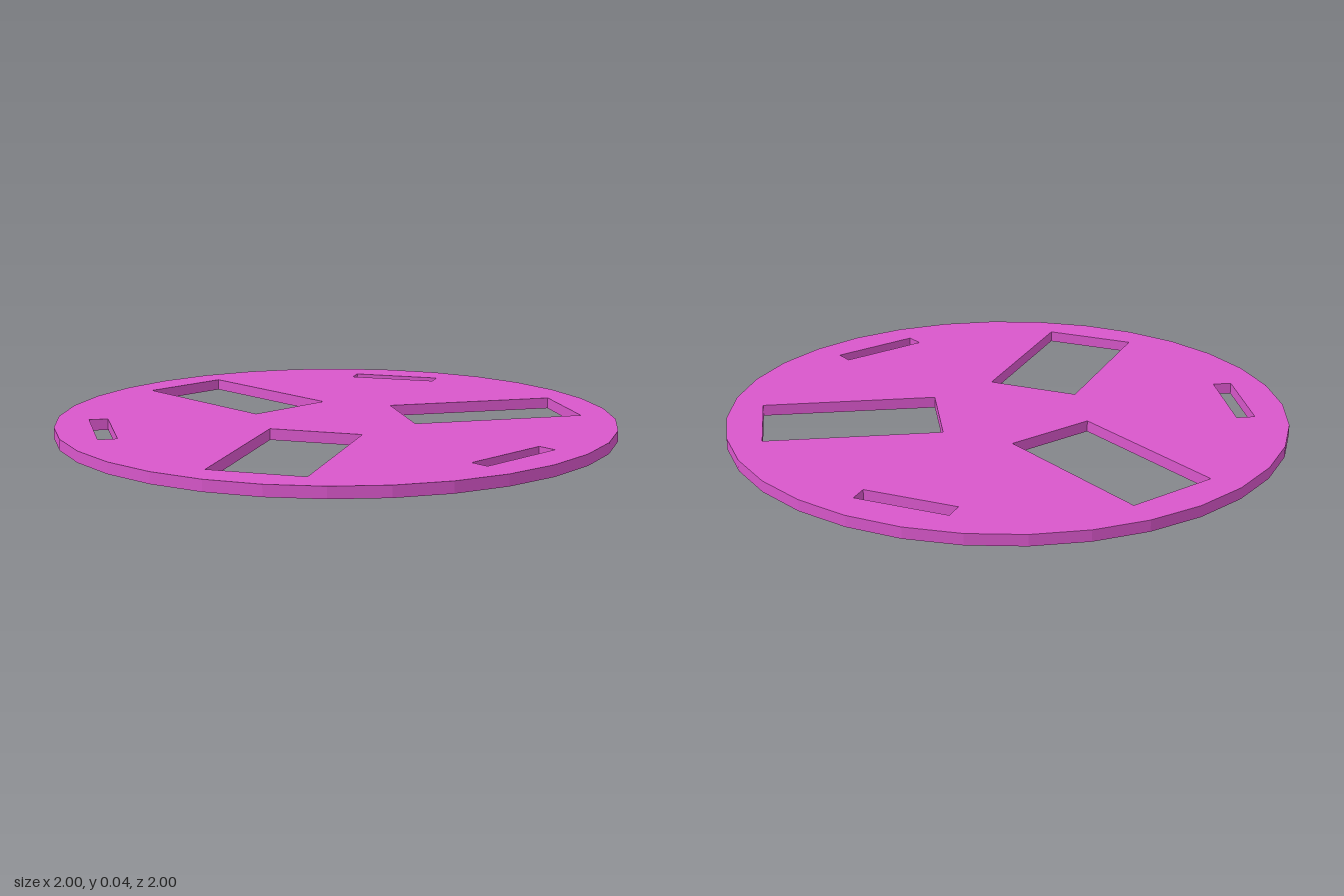
import * as THREE from 'three';

const SIDES = 32, THICKNESS = 0.04, HALF_WIDTH = 0.167;

// Rectangular cut-out between two radii, turned to the given angle
function slot(inner, outer, angle) {
  const corners = [[inner, -HALF_WIDTH], [inner, HALF_WIDTH], [outer, HALF_WIDTH], [outer, -HALF_WIDTH]];
  const centre = new THREE.Vector2();
  return new THREE.Path(corners.map(([x, y]) => new THREE.Vector2(x, y).rotateAround(centre, angle)));
}

export function createModel() {
  const group = new THREE.Group();
  group.name = 'slottedDisc';

  // Outline of the disc
  const outline = new THREE.Shape();
  for (let i = 0; i < SIDES; i++) {
    const a = (i / SIDES) * Math.PI * 2;
    if (i === 0) outline.moveTo(1, 0);
    else outline.lineTo(Math.cos(a), Math.sin(a));
  }
  outline.closePath();

  // Three narrow slots near the rim, each opposite a wide window
  for (let i = 0; i < 3; i++) {
    const angle = (i * Math.PI * 2) / 3;
    outline.holes.push(slot(0.8, 0.867, angle));
    outline.holes.push(slot(0.247, 0.87, angle + Math.PI));
  }

  const geometry = new THREE.ExtrudeGeometry(outline, { depth: THICKNESS, bevelEnabled: false });
  geometry.rotateX(-Math.PI / 2);

  const disc = new THREE.Mesh(geometry, new THREE.MeshStandardMaterial({ color: 0xd957cb, flatShading: true }));
  disc.name = 'disc';
  group.add(disc);
  return group;
}
